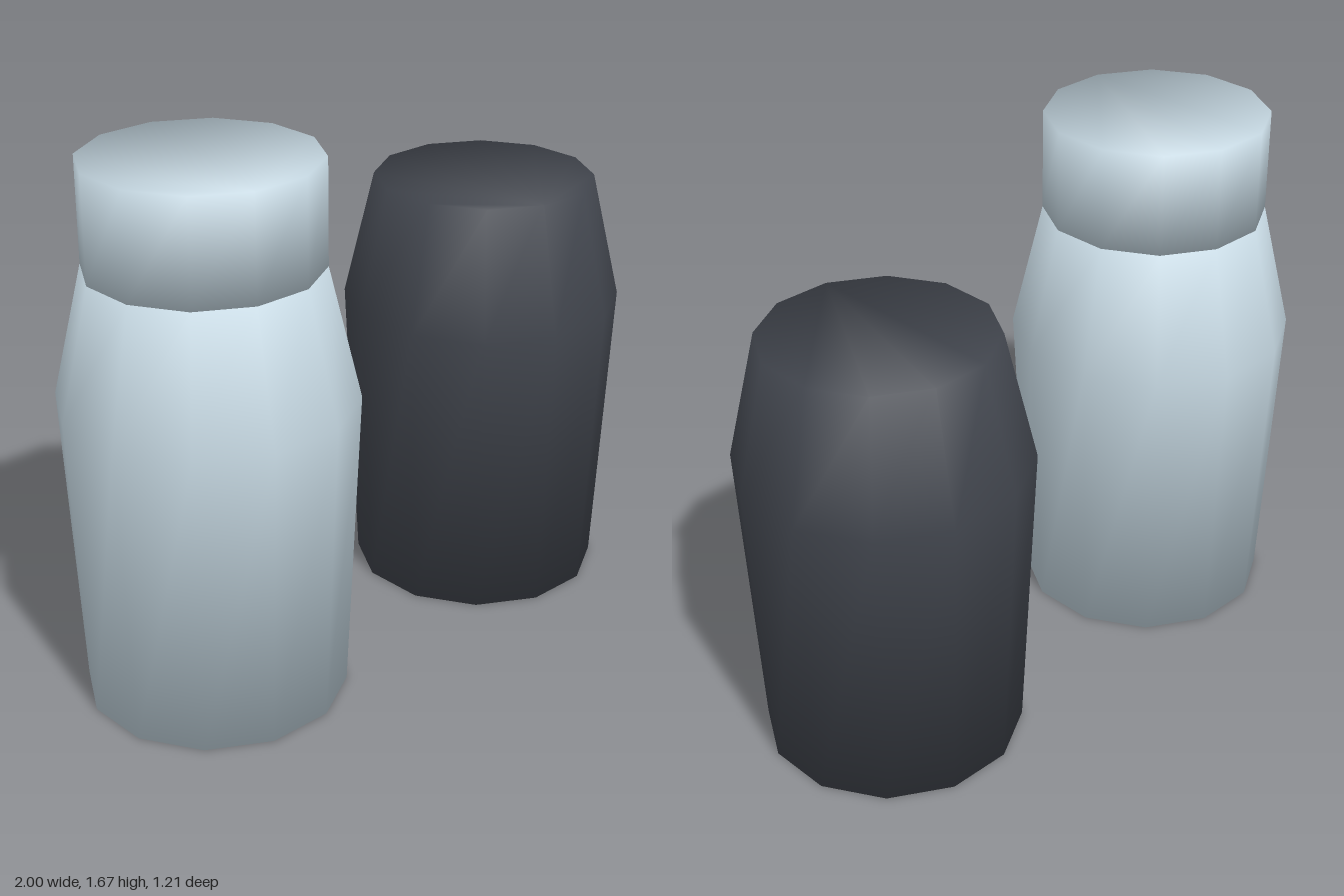
import * as THREE from 'three';

const SIDES = 12;

// Closed, faceted solid of revolution whose smooth normals also blend over the end caps.
// profile: [radius, height] pairs from bottom to top
function turnedSolid(profile) {
  const pos = [], nor = [], idx = [];
  const last = profile.length - 1;
  const sideNormal = (k) => {
    const [r0, y0] = profile[k], [r1, y1] = profile[k + 1];
    return new THREE.Vector2(y1 - y0, r0 - r1).normalize();
  };
  profile.forEach(([r, y], k) => {
    const n = new THREE.Vector2();
    if (k > 0) n.add(sideNormal(k - 1));
    if (k < last) n.add(sideNormal(k));
    if (k === 0) n.y -= 0.86;
    if (k === last) n.y += 0.86;
    n.normalize();
    for (let i = 0; i < SIDES; i++) {
      const a = (i / SIDES) * Math.PI * 2;
      pos.push(r * Math.sin(a), y, r * Math.cos(a));
      nor.push(n.x * Math.sin(a), n.y, n.x * Math.cos(a));
    }
  });
  // Walls
  for (let k = 0; k < last; k++) {
    for (let i = 0; i < SIDES; i++) {
      const j = (i + 1) % SIDES;
      const a = k * SIDES + i, b = k * SIDES + j;
      idx.push(a, b, b + SIDES, a, b + SIDES, a + SIDES);
    }
  }
  // Bottom and top caps
  const t = last * SIDES;
  for (let i = 1; i < SIDES - 1; i++) {
    idx.push(0, i + 1, i, t, t + i, t + i + 1);
  }
  const g = new THREE.BufferGeometry();
  g.setAttribute('position', new THREE.Float32BufferAttribute(pos, 3));
  g.setAttribute('normal', new THREE.Float32BufferAttribute(nor, 3));
  g.setIndex(idx);
  return g;
}

export function createModel() {
  const model = new THREE.Group();
  const silver = new THREE.MeshStandardMaterial({ color: 0xc4d6e0 });
  silver.name = 'pale silver';
  const charcoal = new THREE.MeshStandardMaterial({ color: 0x40444c });
  charcoal.name = 'charcoal';

  const bodyGeometry = turnedSolid([[0.397, 0], [0.443, 0.95], [0.349, 1.35]]);
  const capGeometry = turnedSolid([[0.349, 1.35], [0.349, 1.67]]);

  const add = (name, geometry, material, x, z) => {
    const mesh = new THREE.Mesh(geometry, material);
    mesh.name = name;
    mesh.position.set(x, 0, z);
    model.add(mesh);
  };

  // Capped pale container, and the dark one without a cap
  add('paleBody', bodyGeometry, silver, -0.557, 0.16);
  add('paleCap', capGeometry, silver, -0.557, 0.16);
  add('darkBody', bodyGeometry, charcoal, 0.557, -0.16);

  return model;
}
